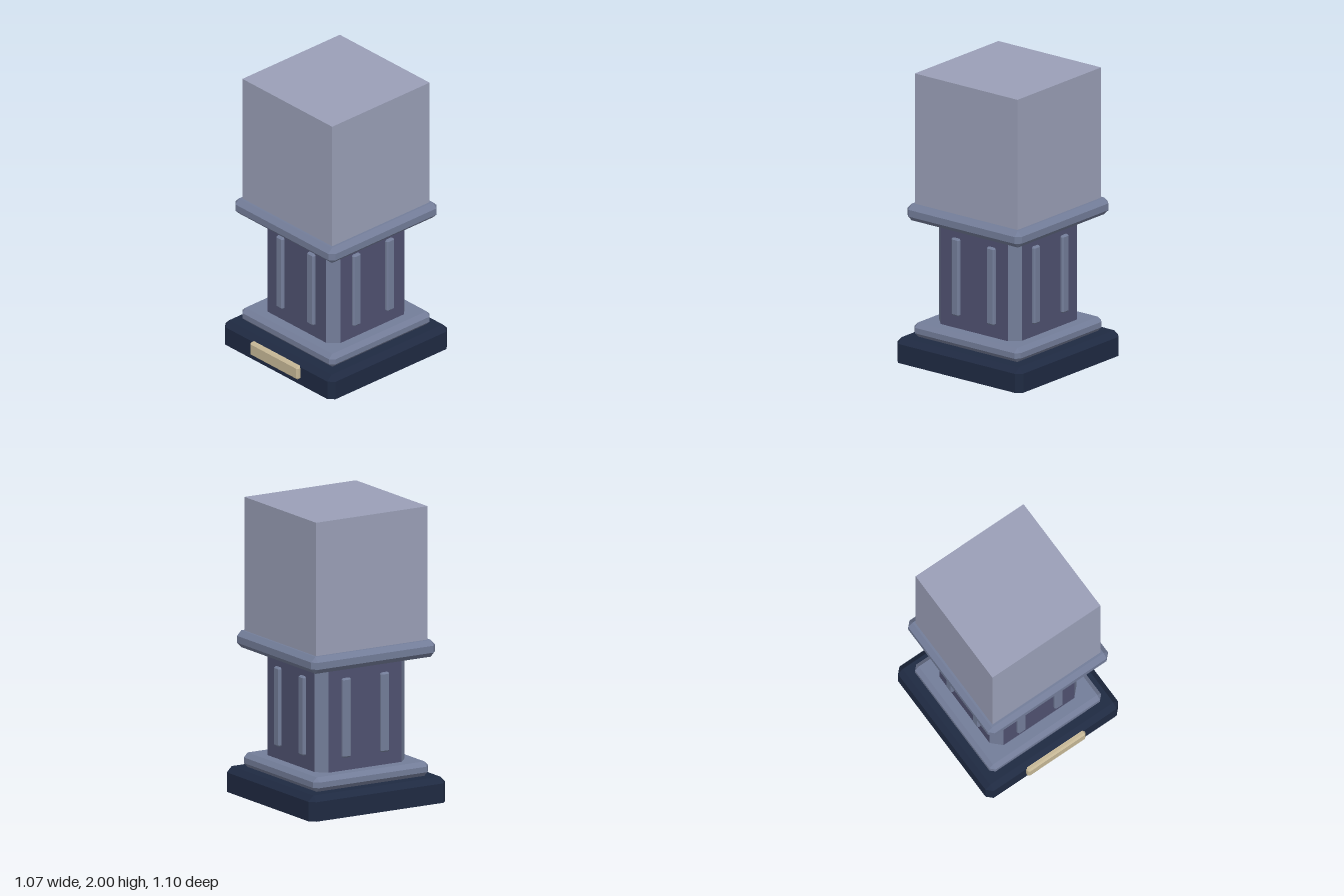
import * as THREE from 'three';
import { ConvexGeometry } from 'three/addons/geometries/ConvexGeometry.js';

const material = (name, color) => {
  const m = new THREE.MeshStandardMaterial({ color });
  m.name = name;
  return m;
};

// Box spanning y0..y1 with every edge cut by c; flatBottom keeps the lower edges square.
function bevelBox(w, y0, y1, d, c, flatBottom = false) {
  const points = [];
  const x = w / 2, z = d / 2;
  for (const sx of [-1, 1]) for (const sz of [-1, 1]) {
    const add = (px, py, pz) => points.push(new THREE.Vector3(sx * px, py, sz * pz));
    for (const y of [flatBottom ? y0 : y0 + c, y1 - c]) {
      add(x, y, z - c);
      add(x - c, y, z);
    }
    add(x - c, y1, z - c);
    if (!flatBottom) add(x - c, y0, z - c);
  }
  return new ConvexGeometry(points);
}

export function createModel() {
  const navy = material('navy base', 0x1f2a42);
  const trim = material('slate trim', 0x737d99);
  const purple = material('dusk purple', 0x4f5170);
  const pale = material('pale block', 0x9a9fb7);
  const brass = material('pale brass', 0xc6b796);

  const model = new THREE.Group();
  model.name = 'pedestal';
  const body = new THREE.Group();
  body.name = 'body';
  body.position.z = -0.014;
  model.add(body);

  const add = (name, geometry, mat, parent = body) => {
    const mesh = new THREE.Mesh(geometry, mat);
    mesh.name = name;
    parent.add(mesh);
    return mesh;
  };

  // Plinth, mouldings and display block
  add('plinth', bevelBox(1.072, 0, 0.17, 1.072, 0.038, true), navy);
  add('lowerMoulding', bevelBox(0.904, 0.17, 0.268, 0.904, 0.03), trim);
  add('upperMoulding', bevelBox(0.972, 0.98, 1.095, 0.972, 0.034), trim);
  add('displayBlock', new THREE.BoxGeometry(0.874, 0.905, 0.874).translate(0, 1.5475, 0), pale);

  // Column: two crossing slabs leave the corners free for the angled posts
  const half = 0.352, cut = 0.066, y0 = 0.26, y1 = 0.99;
  const height = y1 - y0, midY = (y0 + y1) / 2;
  const long = half * 2, short = (half - cut) * 2;
  add('columnAcross', new THREE.BoxGeometry(long, height, short).translate(0, midY, 0), purple);
  add('columnDeep', new THREE.BoxGeometry(short, height, long).translate(0, midY, 0), purple);

  const side = cut * Math.SQRT2;
  const postGeometry = new THREE.BoxGeometry(side, height, side);
  const stripGeometry = bevelBox(0.066, 0.357, 0.895, 0.05, 0.01);
  for (let i = 0; i < 4; i++) {
    const face = new THREE.Group();
    face.name = 'columnSide';
    face.rotation.y = i * Math.PI / 2;
    body.add(face);
    // Corner post turned 45 degrees forms the chamfer
    const post = add('cornerPost', postGeometry, trim, face);
    post.position.set(half - cut, midY, half - cut);
    post.rotation.y = Math.PI / 4;
    // Two raised strips on each side
    for (const s of [-1, 1]) {
      add('raisedStrip', stripGeometry, trim, face).position.set(s * 0.15, 0, half - 0.002);
    }
  }

  // Nameplate on the front of the plinth
  add('nameplate', bevelBox(0.47, 0.04, 0.138, 0.05, 0.012), brass, model).position.z = 0.524;

  return model;
}
